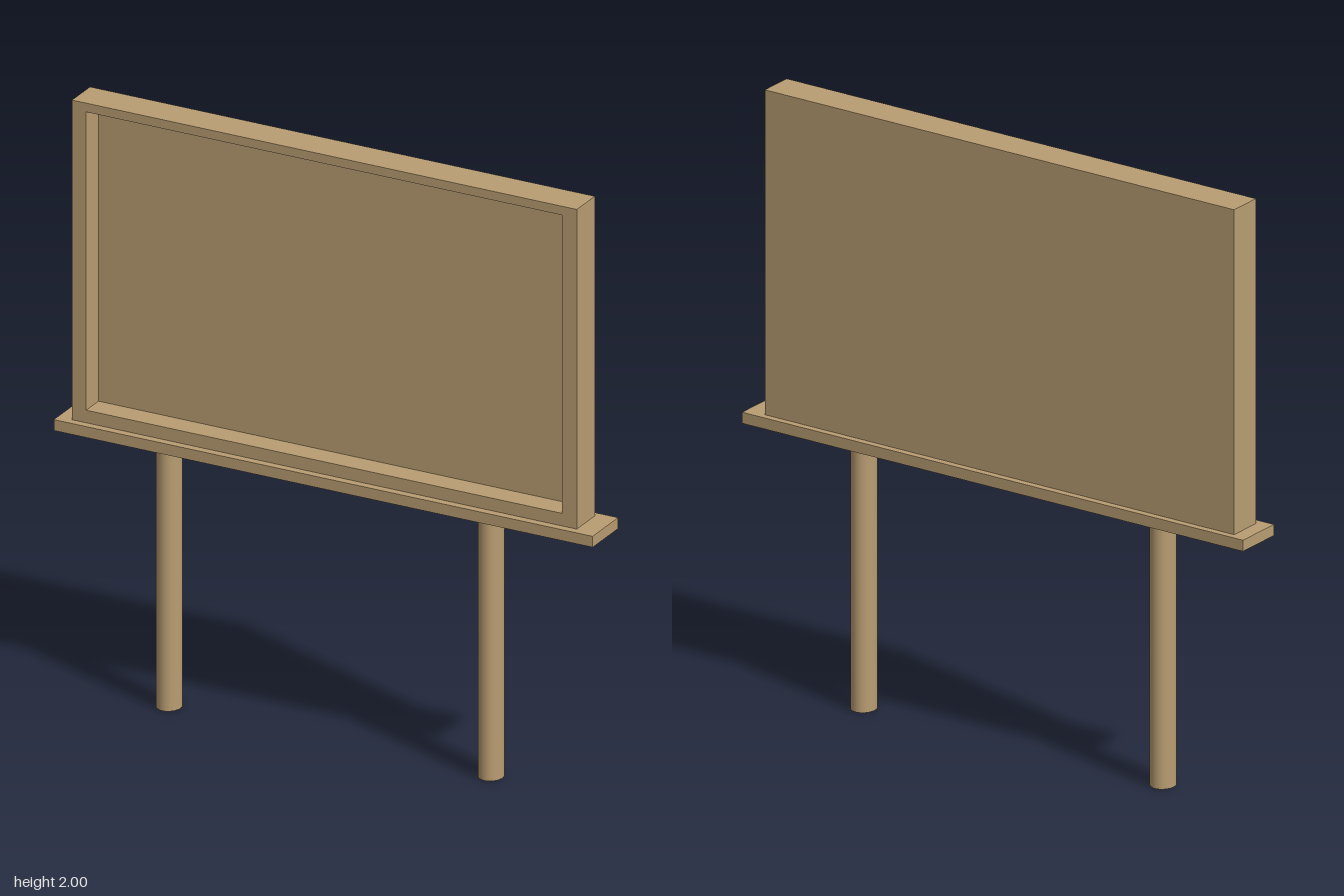
import * as THREE from 'three';

const material = new THREE.MeshStandardMaterial({ color: 0xb99d72 });

function part(name, geometry, x, y, z) {
  const mesh = new THREE.Mesh(geometry, material);
  mesh.name = name;
  mesh.position.set(x, y, z);
  return mesh;
}

// Adds a closed rectangle to a shape or path
function rectangle(path, x0, y0, x1, y1) {
  path.moveTo(x0, y0);
  path.lineTo(x1, y0);
  path.lineTo(x1, y1);
  path.lineTo(x0, y1);
  path.closePath();
  return path;
}

export function createModel() {
  const group = new THREE.Group();
  group.name = 'billboard';

  // Board: a deep rim around a recessed display face
  const back = -0.06, front = 0.057, recess = 0.08;
  const floorZ = front - recess;
  const board = new THREE.Group();
  board.name = 'board';
  const outline = rectangle(new THREE.Shape(), -0.9, 0.92, 0.88, 2);
  outline.holes.push(rectangle(new THREE.Path(), -0.85, 0.963, 0.828, 1.97));
  const rim = new THREE.ExtrudeGeometry(outline, { depth: front - back, bevelEnabled: false });
  board.add(part('boardRim', rim, 0, 0, back));
  board.add(part('displayPanel',
    new THREE.BoxGeometry(1.678, 1.007, floorZ - back), -0.011, 1.4665, (floorZ + back) / 2));
  group.add(board);

  // Ledge under the board
  group.add(part('ledge', new THREE.BoxGeometry(1.9, 0.037, 0.166), 0, 0.902, 0));

  // Posts, slightly oval in section
  for (const [name, x] of [['rightPost', -0.585], ['leftPost', 0.55]]) {
    const post = new THREE.CylinderGeometry(0.04, 0.04, 0.884, 32);
    post.scale(1, 1, 1.13);
    group.add(part(name, post, x, 0.442, 0.005));
  }

  return group;
}
